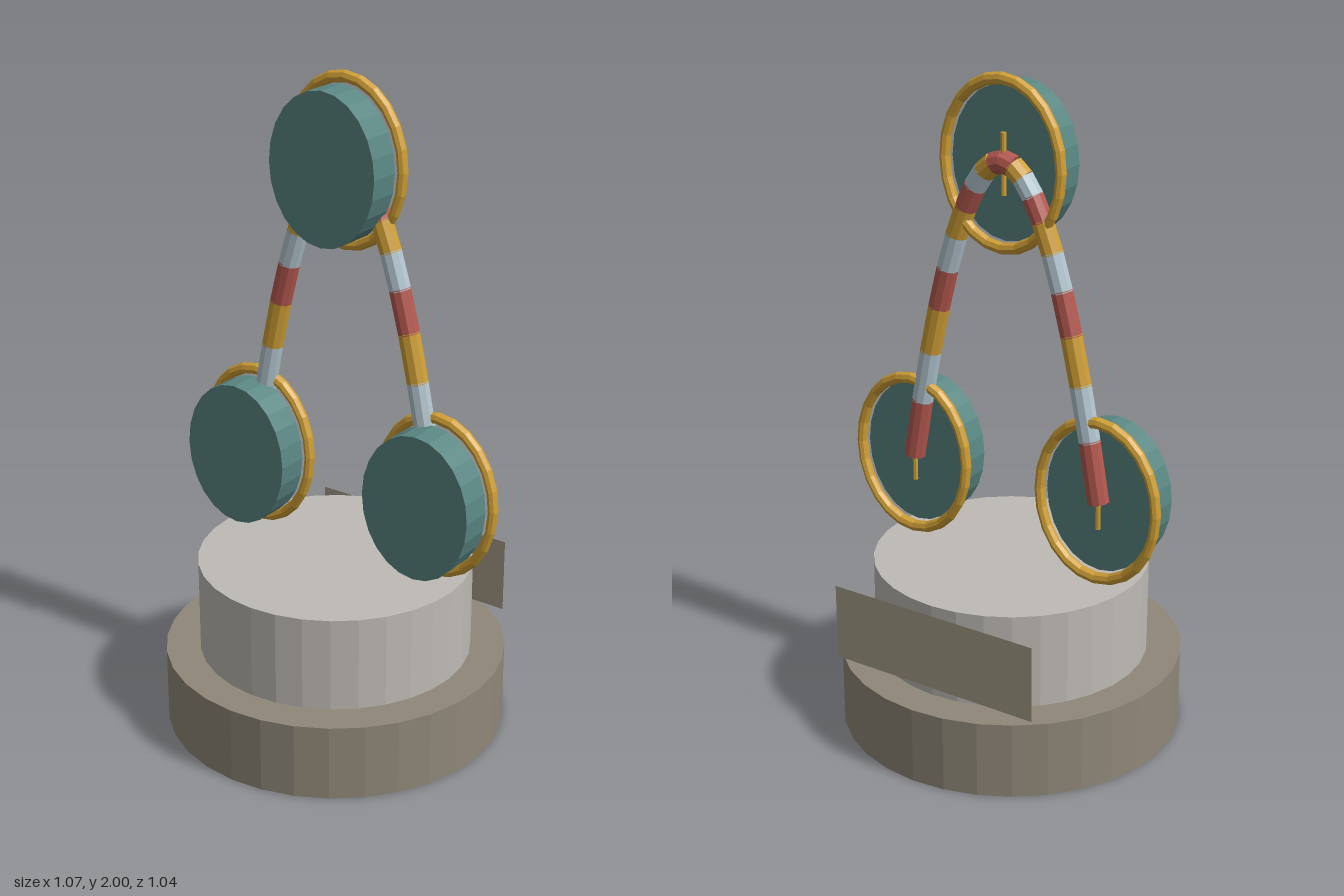
import * as THREE from 'three';

const mat = (name, color) => {
  const m = new THREE.MeshStandardMaterial({ color, flatShading: true });
  m.name = name;
  return m;
};

export function createModel() {
  const group = new THREE.Group();
  const stone = mat('dark stone', 0x8f8778);
  const pale = mat('pale stone', 0xbebab5);
  const plaque = mat('plaque beige', 0xaba18c);
  const gold = mat('gold', 0xcf9f35);
  const teal = mat('teal', 0x5a8783);
  const red = mat('red', 0xb4584f);
  const ice = mat('pale blue', 0xb3c6d0);
  plaque.side = THREE.DoubleSide;

  const add = (name, geometry, material, x = 0, y = 0, z = 0, parent = group) => {
    const mesh = new THREE.Mesh(geometry, material);
    mesh.name = name;
    mesh.position.set(x, y, z);
    parent.add(mesh);
    return mesh;
  };

  // Stepped round base with a gold core just below its top
  add('baseLower', new THREE.CylinderGeometry(0.52, 0.52, 0.235, 32), stone, 0, 0.1175);
  add('baseUpper', new THREE.CylinderGeometry(0.416, 0.416, 0.29, 32), pale, 0, 0.38);
  add('baseInlay', new THREE.CylinderGeometry(0.36, 0.36, 0.02, 32), gold, 0, 0.513);

  // Plain plate on the back of the base
  add('backPlate', new THREE.PlaneGeometry(0.69, 0.235), plaque, 0, 0.377, -0.42).rotation.y = Math.PI;

  // Three oval medallions, each with a rim and a thin pin behind
  const discGeo = new THREE.CylinderGeometry(0.225, 0.225, 0.1, 24);
  discGeo.rotateX(Math.PI / 2).scale(0.8, 1, 1);
  const rimGeo = new THREE.TorusGeometry(0.243, 0.018, 8, 24);
  rimGeo.scale(0.8, 1, 1);
  const pinGeo = new THREE.CylinderGeometry(0.008, 0.008, 0.18, 8);
  for (const [label, x, y] of [['top', 0, 1.74], ['left', 0.325, 0.795], ['right', -0.325, 0.795]]) {
    const medallion = new THREE.Group();
    medallion.name = label + 'Medallion';
    medallion.position.set(x, y, 0);
    group.add(medallion);
    add('disc', discGeo, teal, 0, 0, 0.02, medallion);
    add('rim', rimGeo, gold, 0, 0, -0.048, medallion);
    add('pin', pinGeo, gold, 0, 0, -0.04, medallion);
  }

  // Striped parabolic arch joining the medallions, mirrored about the middle
  const arch = new THREE.Group();
  arch.name = 'stripedArch';
  group.add(arch);
  const stripes = [red, ice, gold];
  const count = 10, half = 0.325, rise = 0.955;
  const point = (i, side) => {
    const t = 1 - i / count;
    return new THREE.Vector3(side * half * t, 1.747 - rise * t * t, -0.04);
  };
  const up = new THREE.Vector3(0, 1, 0);
  for (const side of [-1, 1]) {
    for (let i = 0; i < count; i++) {
      const a = point(i, side), b = point(i + 1, side);
      const dir = b.clone().sub(a);
      const mesh = add('archSegment', new THREE.CylinderGeometry(0.033, 0.033, dir.length() + 0.006, 10), stripes[i % 3], 0, 0, 0, arch);
      mesh.position.copy(a).add(b).multiplyScalar(0.5);
      mesh.quaternion.setFromUnitVectors(up, dir.normalize());
    }
  }
  return group;
}
